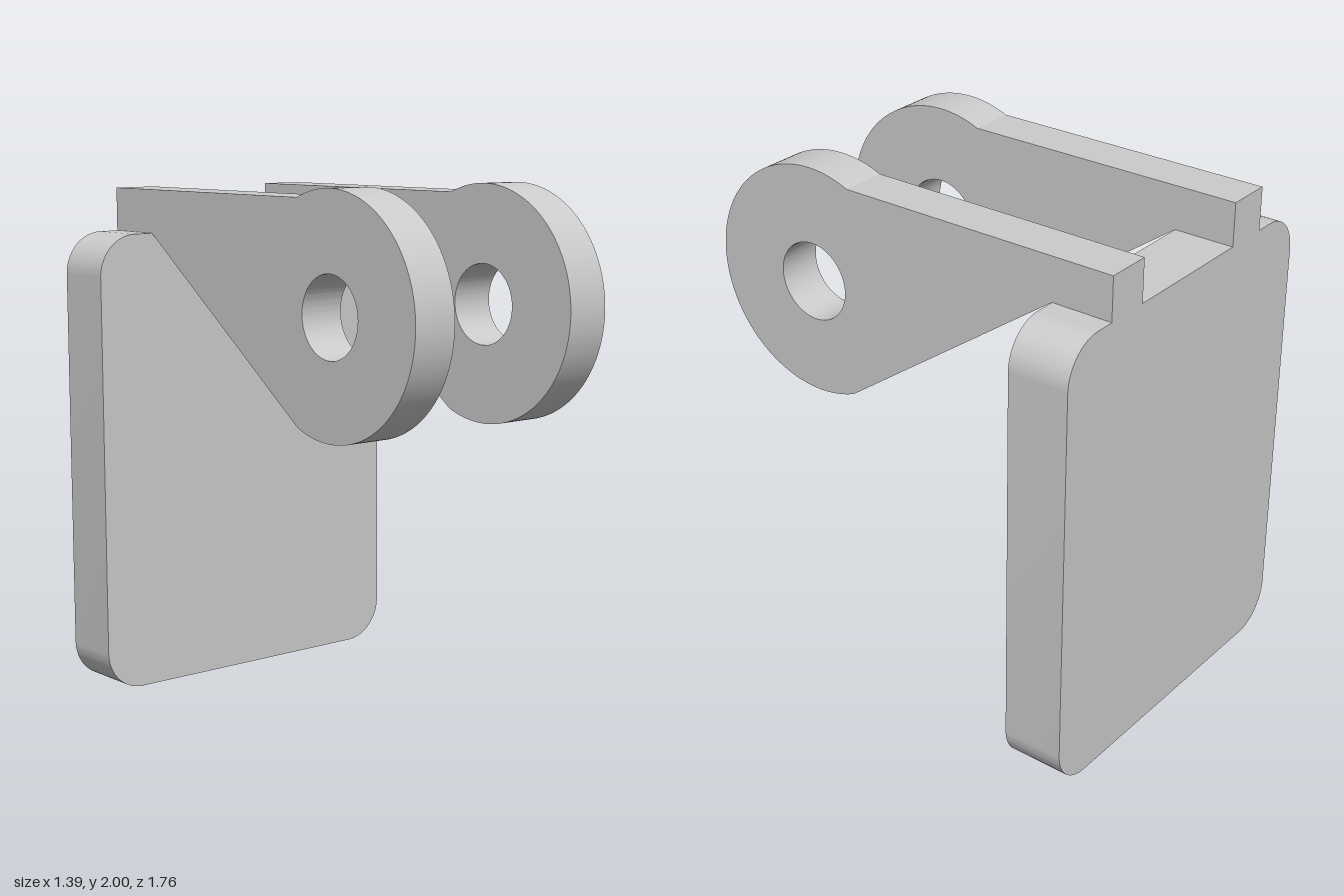
import * as THREE from 'three';
import { toCreasedNormals } from 'three/addons/utils/BufferGeometryUtils.js';

const BACK = -0.88, PLATE_FRONT = -0.64, PLATE_TOP = 1.795;

// Straight extrusion centred on its depth, smooth on arcs and sharp at edges
function extrude(shape, depth, curveSegments) {
  const geometry = new THREE.ExtrudeGeometry(shape, { depth, curveSegments, bevelEnabled: false });
  geometry.translate(0, 0, -depth / 2);
  return toCreasedNormals(geometry, 0.3);
}

// Rounded rectangle standing on y = 0
function plateShape(halfWidth, height, r) {
  const s = new THREE.Shape();
  s.absarc(halfWidth - r, r, r, -Math.PI / 2, 0);
  s.absarc(halfWidth - r, height - r, r, 0, Math.PI / 2);
  s.absarc(-halfWidth + r, height - r, r, Math.PI / 2, Math.PI);
  s.absarc(-halfWidth + r, r, r, Math.PI, Math.PI * 1.5);
  s.closePath();
  return s;
}

// Side profile of an arm: shape x becomes model z
function armShape() {
  const cz = 0.435, cy = 1.553, radius = 0.447, halfBar = 0.41;
  const joint = Math.PI - Math.asin(halfBar / radius);
  const s = new THREE.Shape();
  s.moveTo(PLATE_FRONT, cy - halfBar);
  s.absarc(cz, cy, radius, -joint, joint, false); // round eye
  s.lineTo(BACK, cy + halfBar);
  s.lineTo(BACK, PLATE_TOP); // step resting on the plate
  s.lineTo(PLATE_FRONT, PLATE_TOP);
  s.closePath();
  const hole = new THREE.Path();
  hole.absarc(cz, cy, 0.152, 0, Math.PI * 2, true);
  s.holes.push(hole);
  return s;
}

export function createModel() {
  const group = new THREE.Group();
  group.name = 'clevisBracket';
  const material = new THREE.MeshStandardMaterial({ color: 0xcccccc });

  // Mounting plate
  const plate = new THREE.Mesh(
    extrude(plateShape(0.697, PLATE_TOP, 0.16), PLATE_FRONT - BACK, 16), material);
  plate.name = 'backPlate';
  plate.position.z = (BACK + PLATE_FRONT) / 2;
  group.add(plate);

  // Pair of arms with pin holes
  const armGeometry = extrude(armShape(), 0.178, 64);
  armGeometry.rotateY(-Math.PI / 2);
  for (const [name, x] of [['leftArm', 0.37], ['rightArm', -0.37]]) {
    const arm = new THREE.Mesh(armGeometry, material);
    arm.name = name;
    arm.position.x = x;
    group.add(arm);
  }
  return group;
}
